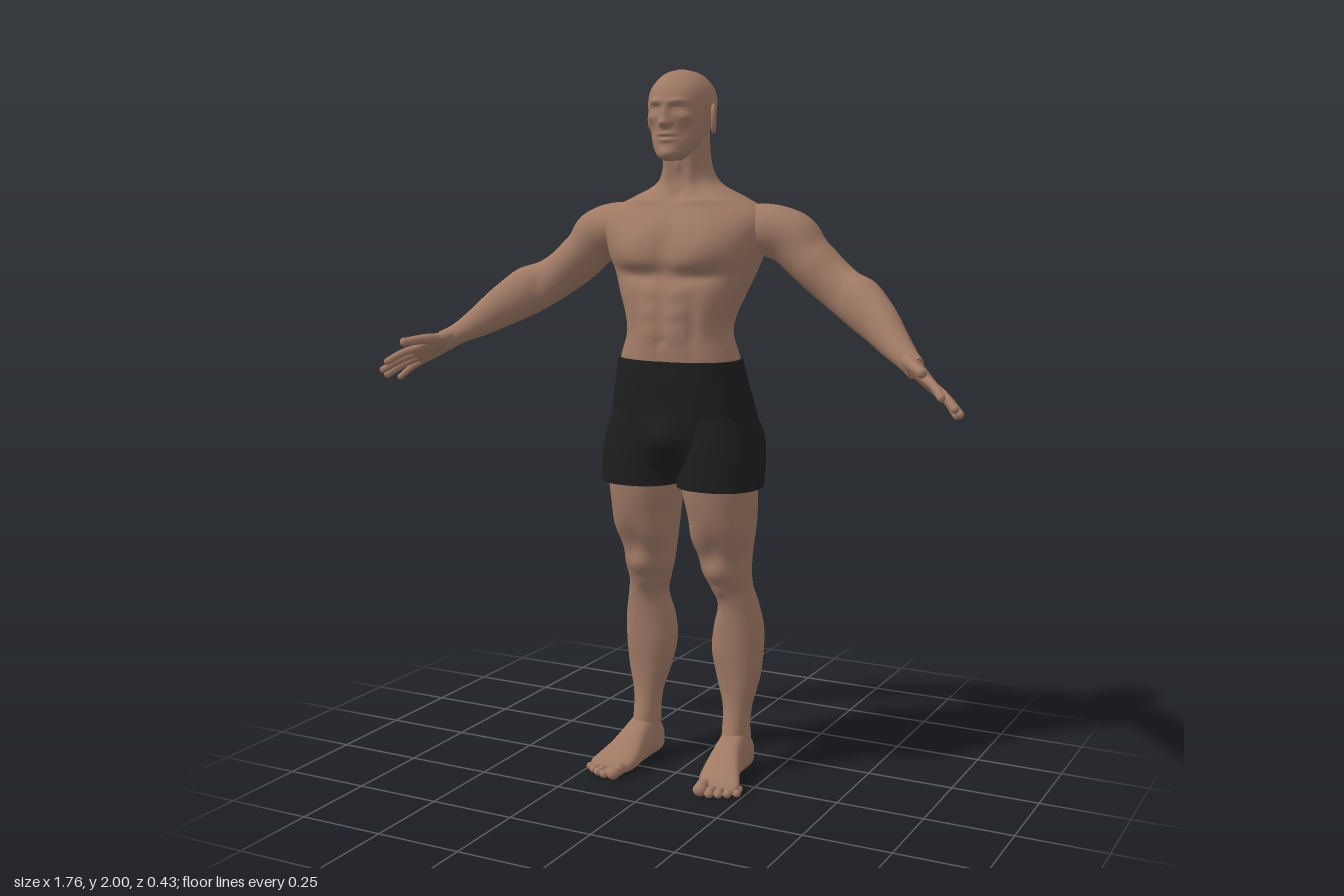
import * as THREE from 'three';

const skin = new THREE.MeshStandardMaterial({ color: 0xa07a65 });
skin.name = 'skin';
const cloth = new THREE.MeshStandardMaterial({ color: 0x1e1e1f });
cloth.name = 'black cloth';

const V = (x, y, z) => new THREE.Vector3(x, y, z);

// Smooths rows of numbers with a Catmull-Rom rule, n steps per row
function smoothRows(rows, n) {
  const out = [], last = rows.length - 1;
  for (let i = 0; i < last; i++) {
    const [a, b, c, d] = [i - 1, i, i + 1, i + 2].map(k => rows[Math.min(last, Math.max(0, k))]);
    for (let s = 0; s < n; s++) {
      const t = s / n;
      out.push(b.map((q, k) => 0.5 * (2 * q + (c[k] - a[k]) * t
        + (2 * a[k] - 5 * q + 4 * c[k] - d[k]) * t * t + (3 * q - a[k] - 3 * c[k] + d[k]) * t * t * t)));
    }
  }
  out.push(rows[last]);
  return out;
}

// Skins rings {c, u, v} and caps both ends; bumps are [x, y, z, rx, ry, rz, amount], mirrored in x
function loft(rings, p = 1, seg = 32, bumps = []) {
  const pos = [], idx = [], R = rings.length;
  const path = rings[R - 1].c.clone().sub(rings[0].c);
  const m = rings[R >> 1];
  const flip = m.u.clone().cross(m.v).dot(path) < 0 ? -1 : 1;
  const pw = q => Math.sign(q) * Math.abs(q) ** p;
  const ring = ({ c, u, v }) => {
    for (let j = 0; j < seg; j++) {
      const a = j / seg * Math.PI * 2;
      const q = c.clone().addScaledVector(u, pw(Math.cos(a))).addScaledVector(v, flip * pw(Math.sin(a)));
      pos.push(q.x, q.y, q.z);
    }
  };
  rings.forEach(ring);
  for (let i = 0; i < R - 1; i++) for (let j = 0; j < seg; j++) {
    const k = (j + 1) % seg, a = i * seg + j, b = i * seg + k;
    idx.push(a, b, b + seg, a, b + seg, a + seg);
  }
  [rings[0], rings[R - 1]].forEach((r, e) => {
    const s = pos.length / 3;
    ring(r);
    pos.push(r.c.x, r.c.y, r.c.z);
    for (let j = 0; j < seg; j++) {
      const a = s + j, b = s + (j + 1) % seg;
      idx.push(s + seg, e ? a : b, e ? b : a);
    }
  });
  const g = new THREE.BufferGeometry();
  g.setAttribute('position', new THREE.Float32BufferAttribute(pos, 3));
  g.setIndex(idx);
  g.computeVertexNormals();
  const P = g.attributes.position, N = g.attributes.normal;
  for (let i = 0; i < R * seg && bumps.length; i++) {
    const x = P.getX(i), y = P.getY(i), z = P.getZ(i);
    let d = 0;
    for (const [bx, by, bz, rx, ry, rz, amt] of bumps)
      d += amt * Math.exp(-(((Math.abs(x) - bx) / rx) ** 2) - ((y - by) / ry) ** 2 - ((z - bz) / rz) ** 2);
    P.setXYZ(i, x + N.getX(i) * d, y + N.getY(i) * d, z + N.getZ(i) * d);
  }
  g.computeVertexNormals();
  return g;
}

// Upright form from rows [y, x0, x1, zBack, zFront]
const upright = (rows, p, seg, bumps, n = 6) => loft(smoothRows(rows, n).map(([y, x0, x1, z0, z1]) => ({
  c: V((x0 + x1) / 2, y, (z0 + z1) / 2), u: V((x1 - x0) / 2, 0, 0), v: V(0, 0, (z1 - z0) / 2) })), p, seg, bumps);
const symmetric = (rows, ...rest) => upright(rows.map(([y, w, z0, z1]) => [y, -w, w, z0, z1]), ...rest);

// Limb from rows [x, y, z, radius along hint, radius across]
function limb(rows, hint, p, seg, bumps, n = 5) {
  const s = smoothRows(rows, n);
  return loft(s.map((r, i) => {
    const a = s[Math.max(0, i - 1)], b = s[Math.min(s.length - 1, i + 1)];
    const t = V(b[0] - a[0], b[1] - a[1], b[2] - a[2]).normalize();
    const u = hint.clone().addScaledVector(t, -hint.dot(t)).normalize();
    return { c: V(r[0], r[1], r[2]), u: u.clone().multiplyScalar(r[3]), v: t.cross(u).multiplyScalar(r[4]) };
  }), p, seg, bumps);
}

function add(parent, name, geometry, material = skin) {
  const m = new THREE.Mesh(geometry, material);
  m.name = name;
  parent.add(m);
  return m;
}

// Finger or thumb through points, with a rounded tip
function digit(points, r) {
  const rows = points.map((q, i) => [...q, r * (1 - 0.08 * i), r * (1 - 0.08 * i)]);
  const g = new THREE.SphereGeometry(r * 0.84, 14, 10).translate(...points[points.length - 1]);
  return [limb(rows, V(0, 1, 0.1), 1, 14, [], 4), g];
}

function buildArm() {
  const arm = new THREE.Group();
  add(arm, 'arm', limb([
    [0.13, 1.575, -0.09, 0.05, 0.07], [0.22, 1.57, -0.098, 0.07, 0.085], [0.29, 1.548, -0.108, 0.073, 0.078],
    [0.345, 1.5, -0.108, 0.069, 0.069], [0.4, 1.45, -0.105, 0.064, 0.066], [0.46, 1.408, -0.09, 0.063, 0.06],
    [0.52, 1.375, -0.065, 0.067, 0.058], [0.58, 1.337, -0.03, 0.061, 0.052], [0.64, 1.29, 0.015, 0.045, 0.043],
    [0.69, 1.255, 0.055, 0.031, 0.034], [0.725, 1.232, 0.08, 0.032, 0.022]], V(0, 1, 0), 1, 32, [
    [0.38, 1.48, -0.04, 0.05, 0.05, 0.04, 0.008], [0.36, 1.45, -0.17, 0.06, 0.06, 0.04, 0.007],
    [0.33, 1.57, -0.1, 0.05, 0.05, 0.08, 0.008], [0.385, 1.53, -0.1, 0.025, 0.03, 0.06, -0.006],
    [0.54, 1.43, -0.05, 0.05, 0.04, 0.05, 0.007], [0.47, 1.4, -0.03, 0.02, 0.04, 0.03, -0.006]]));
  const across = V(-0.16, 0.52, 0.84).normalize();
  add(arm, 'palm', limb([[0.695, 1.252, 0.06, 0.028, 0.022], [0.725, 1.232, 0.082, 0.04, 0.021],
    [0.755, 1.212, 0.102, 0.047, 0.018], [0.782, 1.194, 0.12, 0.045, 0.014], [0.792, 1.187, 0.127, 0.038, 0.008]],
  across, 0.85, 28));
  const tips = [[0.835, 1.18, 0.21], [0.865, 1.152, 0.192], [0.87, 1.135, 0.165], [0.85, 1.125, 0.13]];
  tips.forEach((tip, i) => {
    const base = V(0.775, 1.199, 0.115).addScaledVector(across, 0.035 - i * 0.0235);
    const mid = base.clone().lerp(V(...tip), 0.5).add(V(0.003, 0.004, 0));
    digit([base.toArray(), mid.toArray(), tip], 0.0125 - (i === 3 ? 0.002 : 0)).forEach(g => add(arm, 'finger', g));
  });
  digit([[0.715, 1.24, 0.085], [0.738, 1.244, 0.135], [0.758, 1.242, 0.17], [0.78, 1.238, 0.2]], 0.0165)
    .forEach(g => add(arm, 'thumb', g));
  return arm;
}

function buildLeg() {
  const leg = new THREE.Group();
  add(leg, 'leg', upright([
    [0.93, 0.012, 0.22, -0.16, 0.07], [0.85, 0.012, 0.22, -0.155, 0.07], [0.75, 0.03, 0.212, -0.163, 0.05],
    [0.66, 0.045, 0.197, -0.155, 0.01], [0.6, 0.055, 0.193, -0.15, -0.004], [0.55, 0.075, 0.19, -0.163, -0.026],
    [0.5, 0.09, 0.2, -0.178, -0.04], [0.43, 0.072, 0.214, -0.19, -0.047], [0.36, 0.064, 0.215, -0.186, -0.052],
    [0.28, 0.08, 0.207, -0.172, -0.06], [0.2, 0.104, 0.188, -0.153, -0.06], [0.13, 0.11, 0.182, -0.148, -0.045],
    [0.07, 0.112, 0.182, -0.15, -0.025]], 0.92, 36, [
    [0.122, 0.61, 0, 0.03, 0.035, 0.03, 0.012], [0.122, 0.55, -0.02, 0.02, 0.02, 0.03, 0.006],
    [0.07, 0.7, 0.01, 0.03, 0.05, 0.04, 0.012], [0.18, 0.72, 0, 0.03, 0.06, 0.04, 0.007],
    [0.125, 0.67, 0.02, 0.02, 0.05, 0.03, -0.005], [0.14, 0.59, -0.155, 0.03, 0.05, 0.03, -0.009],
    [0.145, 0.42, -0.19, 0.012, 0.07, 0.03, -0.006], [0.105, 0.12, -0.1, 0.03, 0.022, 0.022, 0.008],
    [0.187, 0.105, -0.105, 0.03, 0.022, 0.022, 0.008]]));
  // Foot from rows [z, x inner, x outer, top]
  add(leg, 'foot', loft(smoothRows([
    [-0.167, 0.135, 0.162, 0.045], [-0.155, 0.118, 0.178, 0.08], [-0.12, 0.108, 0.188, 0.115],
    [-0.07, 0.108, 0.19, 0.13], [-0.02, 0.107, 0.198, 0.108], [0.02, 0.104, 0.212, 0.08],
    [0.06, 0.106, 0.23, 0.054], [0.085, 0.116, 0.236, 0.04], [0.1, 0.13, 0.225, 0.025]], 6)
    .map(([z, a, b, h]) => ({ c: V((a + b) / 2, h / 2, z), u: V((b - a) / 2, 0, 0), v: V(0, h / 2, 0) })), 0.75, 32));
  [[0.135, 0.128, 0.02], [0.164, 0.13, 0.0135], [0.188, 0.121, 0.013], [0.21, 0.108, 0.0125], [0.231, 0.09, 0.012]]
    .forEach(([x, z, r]) => add(leg, 'toe',
      new THREE.SphereGeometry(r, 14, 10).scale(1, 0.9, 1).translate(x + 0.004, r * 0.9, z))
      .add(add(leg, 'toeJoint', new THREE.SphereGeometry(r * 0.95, 14, 10).scale(0.95, 0.95, 2)
        .translate(x, r * 1.05, z - r * 1.5))));
  add(leg, 'shortsLeg', upright([[1.06, 0.01, 0.2, -0.165, 0.08], [1, 0.004, 0.224, -0.195, 0.085],
    [0.93, 0.001, 0.237, -0.182, 0.086], [0.855, 0.002, 0.24, -0.153, 0.084]], 0.88, 40), cloth);
  return leg;
}

function buildHead() {
  const head = new THREE.Group();
  head.name = 'head';
  add(head, 'skull', symmetric([
    [2, 0.008, -0.045, -0.025], [1.992, 0.037, -0.088, 0.008], [1.975, 0.062, -0.118, 0.034],
    [1.945, 0.082, -0.144, 0.06], [1.91, 0.088, -0.15, 0.07], [1.88, 0.085, -0.143, 0.069],
    [1.85, 0.079, -0.125, 0.066], [1.82, 0.071, -0.09, 0.065], [1.79, 0.058, -0.05, 0.063],
    [1.768, 0.042, -0.02, 0.06], [1.755, 0.022, 0, 0.048]], 0.93, 72, [
    [0, 1.858, 0.07, 0.011, 0.014, 0.05, 0.02], [0, 1.882, 0.07, 0.009, 0.018, 0.05, 0.011],
    [0.011, 1.854, 0.07, 0.007, 0.008, 0.04, 0.007], [0.032, 1.893, 0.06, 0.016, 0.011, 0.04, -0.011],
    [0.032, 1.891, 0.06, 0.01, 0.006, 0.04, 0.005], [0.028, 1.912, 0.065, 0.024, 0.008, 0.04, 0.007],
    [0.055, 1.87, 0.045, 0.02, 0.014, 0.03, 0.006], [0.05, 1.832, 0.05, 0.016, 0.02, 0.03, -0.005],
    [0, 1.826, 0.065, 0.02, 0.005, 0.04, 0.006], [0, 1.818, 0.065, 0.024, 0.003, 0.04, -0.005],
    [0, 1.81, 0.065, 0.017, 0.005, 0.04, 0.006], [0, 1.775, 0.06, 0.022, 0.014, 0.03, 0.008]], 9));
  for (const s of [1, -1]) {
    const ear = new THREE.Group();
    ear.name = 'ear';
    add(ear, 'earRim', new THREE.TorusGeometry(0.021, 0.006, 10, 24).scale(0.85, 1.5, 1));
    add(ear, 'earBowl', new THREE.SphereGeometry(0.02, 16, 12).scale(0.9, 1.45, 0.3));
    ear.position.set(s * 0.091, 1.868, -0.045);
    ear.rotation.set(0, s * (Math.PI / 2 + 0.35), 0);
    head.add(ear);
  }
  return head;
}

export function createModel() {
  const model = new THREE.Group();
  model.name = 'standingMan';
  // Neck, chest and belly
  add(model, 'torso', symmetric([
    [1.84, 0.06, -0.128, 0], [1.78, 0.064, -0.128, 0.002], [1.73, 0.07, -0.138, -0.008],
    [1.69, 0.096, -0.155, -0.008], [1.655, 0.165, -0.178, 0.012], [1.62, 0.228, -0.19, 0.038],
    [1.57, 0.243, -0.196, 0.066], [1.5, 0.226, -0.194, 0.076], [1.45, 0.205, -0.186, 0.072],
    [1.39, 0.18, -0.17, 0.086], [1.33, 0.156, -0.153, 0.094], [1.28, 0.15, -0.145, 0.096],
    [1.21, 0.172, -0.148, 0.095], [1.14, 0.18, -0.15, 0.085]], 0.85, 80, [
    [0.095, 1.515, 0.07, 0.075, 0.05, 0.06, 0.02], [0.07, 1.48, 0.07, 0.05, 0.025, 0.05, 0.007],
    [0, 1.53, 0.07, 0.012, 0.08, 0.06, -0.01], [0.09, 1.445, 0.07, 0.07, 0.016, 0.05, -0.011],
    [0, 1.32, 0.09, 0.008, 0.1, 0.05, -0.006], [0.04, 1.4, 0.09, 0.026, 0.022, 0.05, 0.006],
    [0.04, 1.345, 0.09, 0.026, 0.022, 0.05, 0.006], [0.04, 1.285, 0.09, 0.026, 0.026, 0.05, 0.005],
    [0.088, 1.32, 0.08, 0.014, 0.08, 0.05, -0.007], [0, 1.265, 0.095, 0.008, 0.01, 0.04, -0.008],
    [0, 1.46, -0.19, 0.022, 0.2, 0.07, -0.022], [0.11, 1.58, -0.19, 0.06, 0.07, 0.06, 0.014],
    [0.13, 1.45, -0.17, 0.05, 0.07, 0.06, 0.008], [0.05, 1.28, -0.145, 0.03, 0.09, 0.04, 0.008],
    [0.09, 1.645, 0.01, 0.07, 0.009, 0.05, 0.008], [0, 1.66, 0, 0.014, 0.018, 0.03, -0.01],
    [0.035, 1.72, -0.01, 0.014, 0.05, 0.03, 0.006], [0, 1.74, 0, 0.01, 0.014, 0.03, 0.005]]));
  model.add(buildHead());
  // Seat of the shorts
  add(model, 'shorts', symmetric([
    [1.212, 0.179, -0.153, 0.102], [1.16, 0.188, -0.168, 0.103], [1.1, 0.201, -0.182, 0.1],
    [1.04, 0.213, -0.194, 0.094], [0.98, 0.222, -0.19, 0.086], [0.93, 0.205, -0.165, 0.074],
    [0.885, 0.14, -0.11, 0.05]], 0.85, 80, [
    [0, 1, 0.09, 0.06, 0.055, 0.06, 0.026], [0.1, 1.03, -0.19, 0.075, 0.075, 0.08, 0.023],
    [0, 1.02, -0.19, 0.022, 0.1, 0.08, -0.03]]), cloth);
  // Limbs, mirrored to the other side
  for (const [name, build] of [['Arm', buildArm], ['Leg', buildLeg]]) {
    const left = build(), right = left.clone();
    left.name = 'left' + name;
    right.name = 'right' + name;
    right.scale.x = -1;
    model.add(left, right);
  }
  return model;
}
